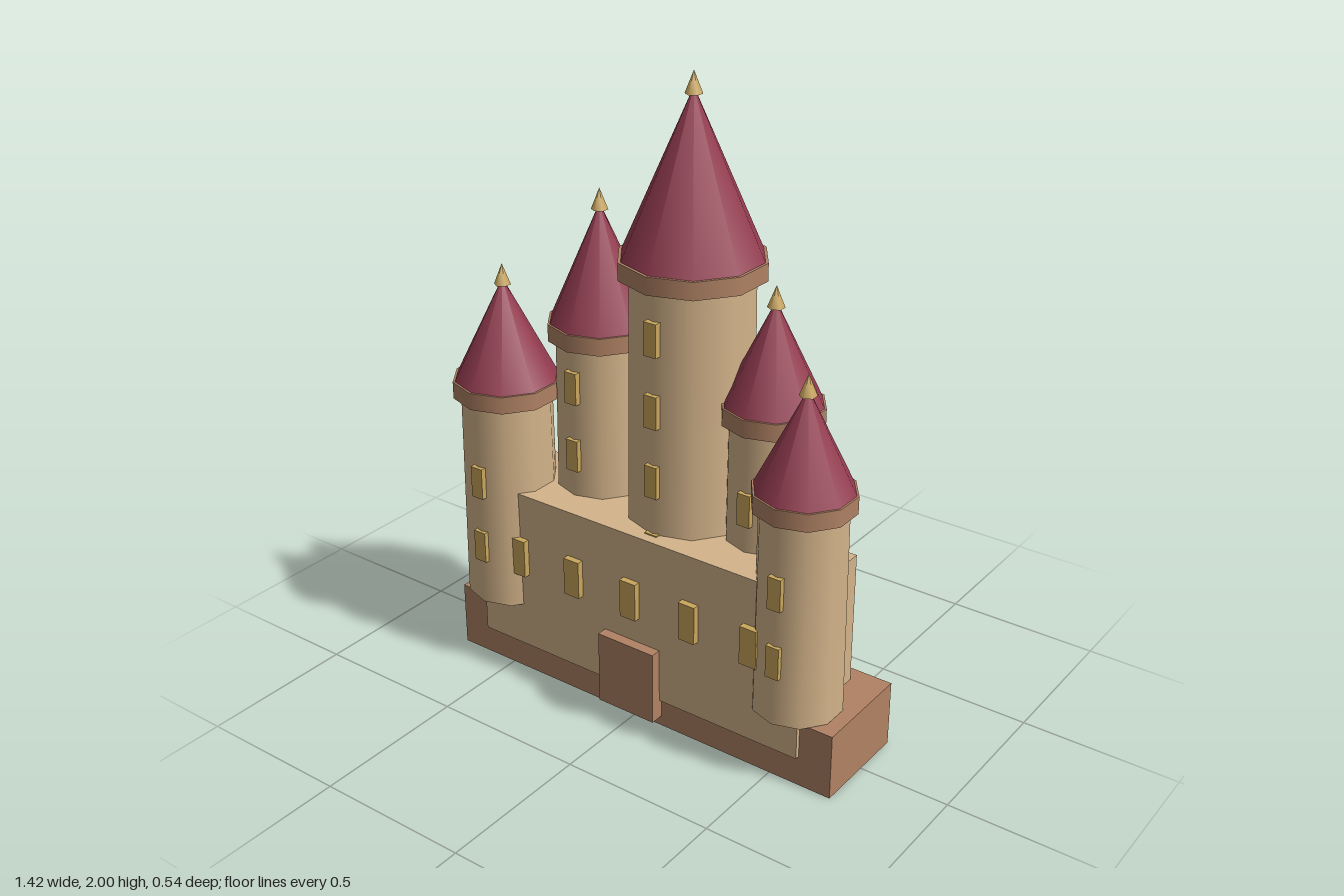
import * as THREE from 'three';

const mat = (name, color) => {
  const m = new THREE.MeshStandardMaterial({ color });
  m.name = name;
  return m;
};

export function createModel() {
  const stone = mat('sandstone', 0xd4b48a);
  const brown = mat('brown stone', 0xb08264);
  const red = mat('roof red', 0x943c50);
  const gold = mat('gold', 0xc9a65c);

  const castle = new THREE.Group();
  castle.name = 'castle';

  const add = (parent, name, geometry, material, x, y, z) => {
    const mesh = new THREE.Mesh(geometry, material);
    mesh.name = name;
    mesh.position.set(x, y, z);
    parent.add(mesh);
    return mesh;
  };
  // Box given by its lower and upper limits on each axis
  const block = (name, material, [x0, x1], [y0, y1], [z0, z1]) =>
    add(castle, name, new THREE.BoxGeometry(x1 - x0, y1 - y0, z1 - z0), material,
      (x0 + x1) / 2, (y0 + y1) / 2, (z0 + z1) / 2);

  // Plinth, main wall and door
  block('plinth', brown, [-0.71, 0.71], [0, 0.215], [-0.16, 0.178]);
  block('mainWall', stone, [-0.6, 0.6], [0.1, 0.645], [-0.105, 0.192]);
  block('door', brown, [-0.104, 0.104], [0.037, 0.28], [0.18, 0.226]);

  // Row of wall windows
  for (let i = -2; i <= 2; i++) {
    const x = i * 0.218;
    block('wallWindow', gold, [x - 0.029, x + 0.029], [0.366, 0.492], [0.183, 0.213]);
  }

  // Ten-sided tower: tapered shaft, collar, cone roof, finial, column of windows
  const tower = (name, { x, z, r, bottom, top, tip, windows }) => {
    const g = new THREE.Group();
    g.name = name;
    g.position.set(x, 0, z);
    castle.add(g);
    const collarTop = top + 0.055;
    const roofTip = tip - 0.045;
    add(g, 'shaft', new THREE.CylinderGeometry(r * 0.95, r, top + 0.01 - bottom, 10), stone,
      0, (bottom + top + 0.01) / 2, 0);
    add(g, 'collar', new THREE.CylinderGeometry(r * 1.11, r * 1.11, 0.055, 10), brown,
      0, top + 0.0275, 0);
    add(g, 'roof', new THREE.ConeGeometry(r * 1.065, roofTip - collarTop, 10), red,
      0, (collarTop + roofTip) / 2, 0);
    add(g, 'finial', new THREE.ConeGeometry(0.026, 0.066, 6), gold, 0, tip - 0.033, 0);
    for (const y of windows) {
      add(g, 'towerWindow', new THREE.BoxGeometry(0.044, 0.104, 0.03), gold, 0, y, r - 0.009);
    }
  };

  tower('centralTower', { x: 0.048, z: -0.049, r: 0.202, bottom: 0.39, top: 1.412, tip: 2.0,
    windows: [1.272, 1.047, 0.822, 0.597] });
  tower('rightInnerTower', { x: -0.295, z: -0.055, r: 0.152, bottom: 0.36, top: 1.133, tip: 1.6,
    windows: [1.01, 0.785] });
  tower('rightOuterTower', { x: -0.55, z: 0.102, r: 0.152, bottom: 0.248, top: 0.932, tip: 1.355,
    windows: [0.677, 0.452] });
  tower('leftInnerTower', { x: 0.326, z: -0.062, r: 0.141, bottom: 0.355, top: 1.022, tip: 1.433,
    windows: [0.785] });
  tower('leftOuterTower', { x: 0.535, z: 0.092, r: 0.139, bottom: 0.218, top: 0.872, tip: 1.275,
    windows: [0.654, 0.429] });

  return castle;
}
